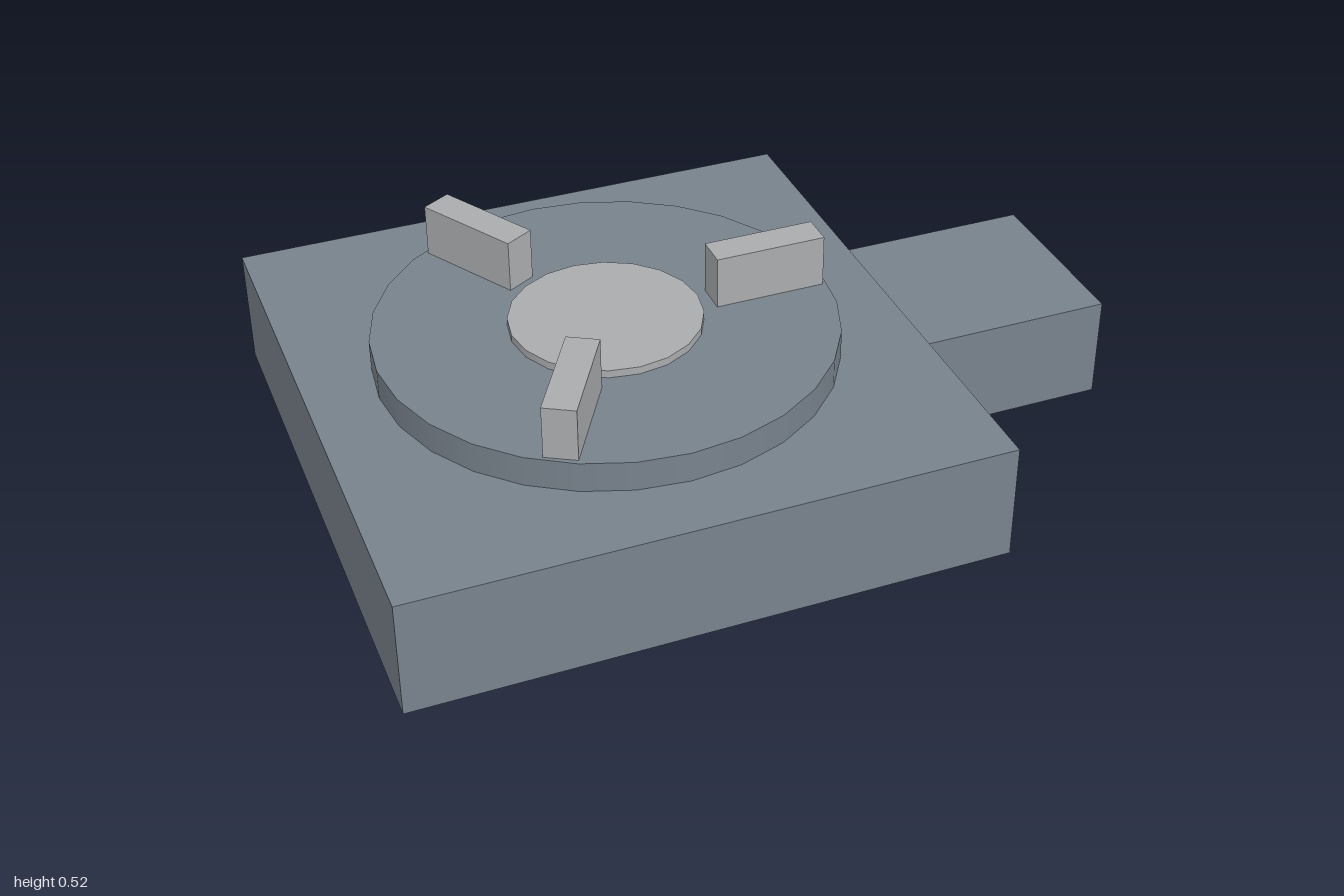
import * as THREE from 'three';

export function createModel() {
  const model = new THREE.Group();
  model.name = 'rotaryTable';
  const body = new THREE.MeshStandardMaterial({ name: 'slate grey', color: 0x78828c });
  const steel = new THREE.MeshStandardMaterial({ name: 'light steel', color: 0xaaacae });

  function add(parent, name, geometry, material, x, y, z) {
    const mesh = new THREE.Mesh(geometry, material);
    mesh.name = name;
    mesh.position.set(x, y, z);
    parent.add(mesh);
    return mesh;
  }

  // Square base and the drive housing on its left side
  add(model, 'base', new THREE.BoxGeometry(1.488, 0.306, 1.488), body, -0.256, 0.153, 0);
  add(model, 'driveHousing', new THREE.BoxGeometry(0.512, 0.268, 0.476), body, 0.744, 0.142, 0);

  // Turntable, hub and jaws share one vertical axis
  const chuck = new THREE.Group();
  chuck.name = 'chuck';
  chuck.position.x = -0.256;
  model.add(chuck);
  add(chuck, 'turntable', new THREE.CylinderGeometry(0.574, 0.574, 0.078, 28), body, 0, 0.345, 0);
  add(chuck, 'hub', new THREE.CylinderGeometry(0.24, 0.24, 0.02, 20), steel, 0, 0.394, 0);

  // Three radial jaws
  const jawGeometry = new THREE.BoxGeometry(0.284, 0.136, 0.082);
  for (let i = 0; i < 3; i++) {
    const angle = (i * Math.PI * 2) / 3;
    const jaw = add(chuck, 'jaw' + (i + 1), jawGeometry, steel,
      Math.cos(angle) * 0.418, 0.452, -Math.sin(angle) * 0.418);
    jaw.rotation.y = angle;
  }
  return model;
}
